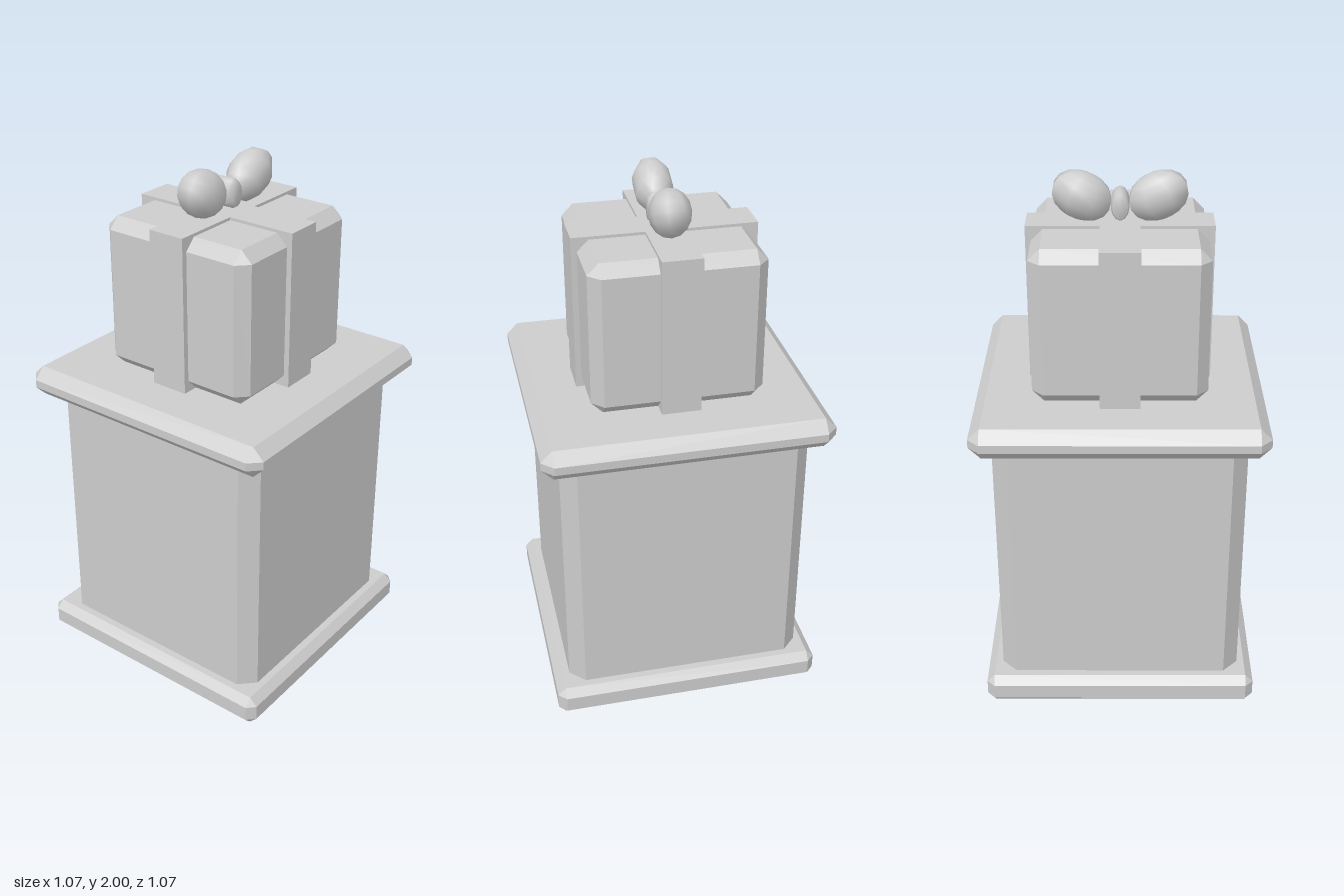
import * as THREE from 'three';
import { ConvexGeometry } from 'three/addons/geometries/ConvexGeometry.js';

const grey = new THREE.MeshStandardMaterial({ color: 0xcccccc });
grey.name = 'plain grey';

// Square box with every edge bevelled, from y0 to y1
function bevelledBox(half, y0, y1, bevel) {
  const h = (y1 - y0) / 2, points = [];
  for (const sx of [-1, 1]) for (const sy of [-1, 1]) for (const sz of [-1, 1]) {
    for (let axis = 0; axis < 3; axis++) {
      const inset = [bevel, bevel, bevel];
      inset[axis] = 0;
      points.push(new THREE.Vector3(
        sx * (half - inset[0]), (y0 + y1) / 2 + sy * (h - inset[1]), sz * (half - inset[2])));
    }
  }
  return new ConvexGeometry(points);
}

export function createModel() {
  const model = new THREE.Group();
  model.name = 'giftOnPedestal';
  const add = (name, geometry, parent = model) => {
    const mesh = new THREE.Mesh(geometry, grey);
    mesh.name = name;
    parent.add(mesh);
    return mesh;
  };

  // Pedestal
  add('pedestalBase', bevelledBox(0.522, 0, 0.12, 0.03));
  add('pedestalColumn', bevelledBox(0.464, 0.03, 1.19, 0.057));
  add('pedestalTop', bevelledBox(0.537, 1.108, 1.225, 0.043));

  // Gift box
  const gift = new THREE.Group();
  gift.name = 'gift';
  model.add(gift);
  add('giftBox', bevelledBox(0.32, 1.225, 1.809, 0.043), gift);

  // Crossed ribbon, as one raised cross
  const r = 0.341, w = 0.073;
  const cross = new THREE.Shape([
    [w, r], [-w, r], [-w, w], [-r, w], [-r, -w], [-w, -w],
    [-w, -r], [w, -r], [w, -w], [r, -w], [r, w], [w, w],
  ].map(([x, y]) => new THREE.Vector2(x, y)));
  const ribbon = new THREE.ExtrudeGeometry(cross, { depth: 0.595, bevelEnabled: false });
  ribbon.rotateX(-Math.PI / 2).translate(0, 1.225, 0);
  add('ribbon', ribbon, gift);

  // Bow: two upward-tilted loops and a barrel knot
  const bow = new THREE.Group();
  bow.name = 'bow';
  gift.add(bow);
  for (const side of [1, -1]) {
    const loop = new THREE.SphereGeometry(1, 8, 8);
    loop.rotateY(Math.PI / 8).scale(0.075, 0.087, 0.118);
    loop.rotateX(-side * 0.43).translate(0, 1.909, side * 0.138);
    add(side > 0 ? 'frontLoop' : 'backLoop', loop, bow);
  }
  const knot = new THREE.LatheGeometry(
    [[0, -0.05], [0.8, -0.05], [1, -0.03], [1, 0.03], [0.8, 0.05], [0, 0.05]]
      .map(([x, y]) => new THREE.Vector2(x, y)), 12);
  knot.rotateZ(Math.PI / 2).scale(1, 0.056, 0.034).translate(0, 1.88, 0);
  add('knot', knot, bow);

  return model;
}
